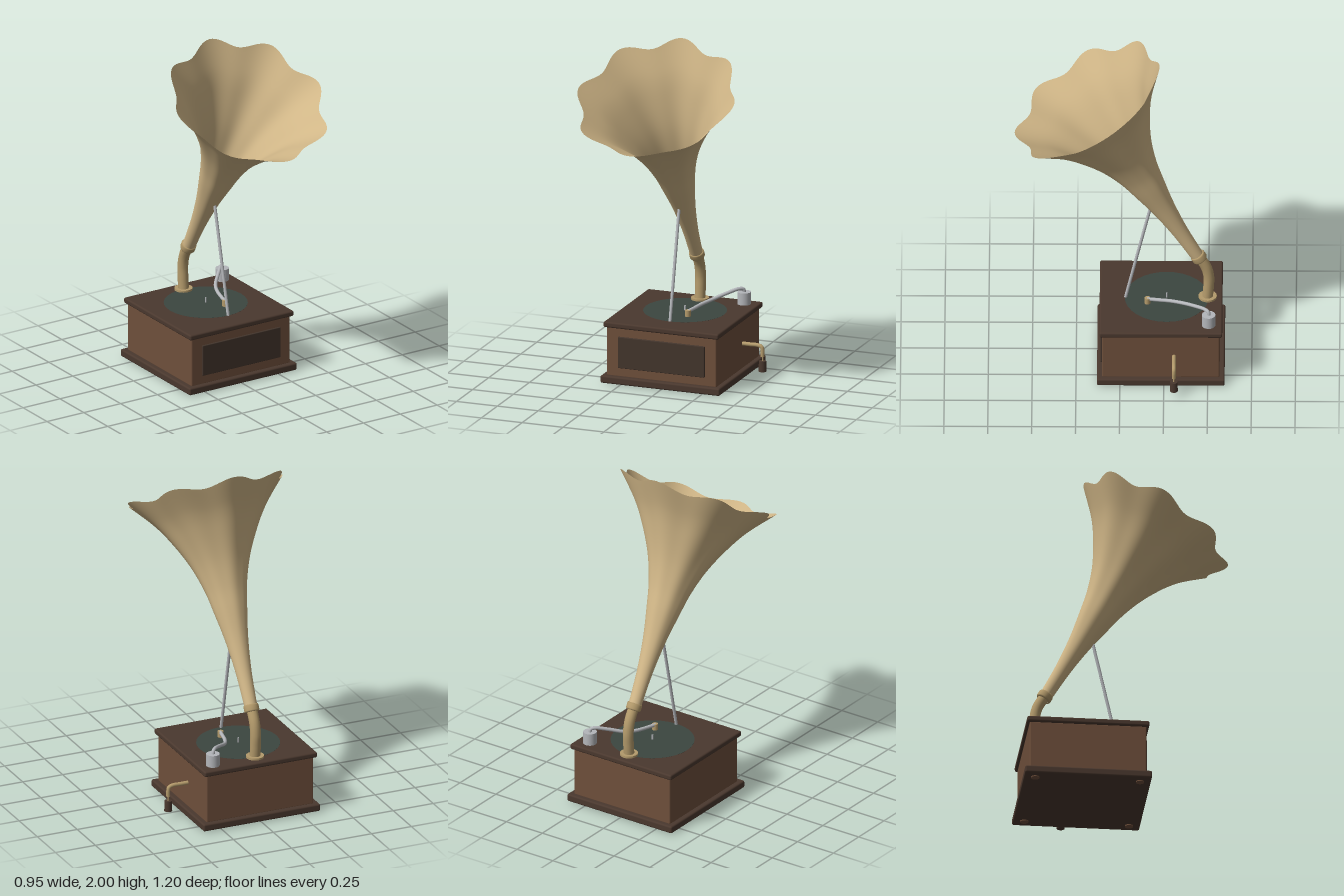
import * as THREE from 'three';
import { RoundedBoxGeometry } from 'three/addons/geometries/RoundedBoxGeometry.js';
import { mergeVertices } from 'three/addons/utils/BufferGeometryUtils.js';

const mat = (color, side = THREE.FrontSide) => new THREE.MeshStandardMaterial({ color, side });
const V = (x, y, z) => new THREE.Vector3(x, y, z);

export function createModel() {
  const model = new THREE.Group();
  const wood = mat(0x6e4f3b), darkWood = mat(0x4a382e), panelWood = mat(0x43352c);
  const brass = mat(0xb39a6b), silver = mat(0xb4b6ba), felt = mat(0x3c4640);
  const hornMat = mat(0xd0b687, THREE.DoubleSide);
  const boxZ = -0.233;

  const add = (name, geometry, material, x = 0, y = 0, z = 0) => {
    const mesh = new THREE.Mesh(geometry, material);
    mesh.name = name;
    mesh.position.set(x, y, z);
    model.add(mesh);
    return mesh;
  };
  // Rounded slab between two heights
  const slab = (name, w, d, y0, y1, material, radius = 0.01, z = boxZ) =>
    add(name, new RoundedBoxGeometry(w, y1 - y0, d, 3, radius), material, 0, (y0 + y1) / 2, z);
  // Upright cylinder between two heights
  const post = (name, r, y0, y1, x, z, material, rTop = r) =>
    add(name, new THREE.CylinderGeometry(rTop, r, y1 - y0, 32), material, x, (y0 + y1) / 2, z);
  const tube = (name, points, r, material) =>
    add(name, new THREE.TubeGeometry(new THREE.CatmullRomCurve3(points), 48, r, 14), material);

  // Cabinet
  slab('base', 0.73, 0.727, 0.006, 0.05, darkWood);
  slab('cabinet', 0.67, 0.67, 0.045, 0.34, wood, 0.008);
  slab('lid', 0.704, 0.7, 0.335, 0.368, darkWood);
  slab('frontPanel', 0.53, 0.02, 0.1, 0.285, panelWood, 0.004, 0.102);
  for (const x of [-0.3, 0.3])
    for (const z of [-0.3, 0.3]) post('foot', 0.024, 0, 0.012, x, boxZ + z, wood);

  // Turntable, flush with the lid
  post('turntable', 0.24, 0.36, 0.3685, 0, -0.265, felt);
  post('spindle', 0.005, 0.36, 0.397, 0, -0.265, silver);

  // Tone arm
  post('toneArmPivot', 0.039, 0.365, 0.44, 0.267, -0.505, silver);
  tube('toneArm', [
    V(0.267, 0.435, -0.507), V(0.263, 0.456, -0.503), V(0.245, 0.461, -0.485), V(0.19, 0.444, -0.428),
    V(0.125, 0.418, -0.355), V(0.092, 0.408, -0.285), V(0.075, 0.402, -0.22), V(0.06, 0.398, -0.155),
  ], 0.0105, silver);
  post('soundBox', 0.017, 0.37, 0.406, 0.06, -0.155, brass);

  // Crank
  tube('crankArm', [
    V(0.32, 0.195, -0.308), V(0.38, 0.195, -0.308), V(0.43, 0.195, -0.308), V(0.451, 0.187, -0.308),
    V(0.457, 0.168, -0.308), V(0.457, 0.13, -0.308),
  ], 0.0115, brass);
  post('crankPin', 0.004, 0.1, 0.135, 0.457, -0.308, brass);
  post('crankHandle', 0.023, 0.043, 0.105, 0.457, -0.308, darkWood, 0.021);

  // Support rod
  tube('supportRod', [V(0, 0.365, -0.03), V(0, 0.68, -0.1), V(0, 1.0, -0.172)], 0.009, silver);

  // Elbow pipe
  post('elbowFlange', 0.052, 0.366, 0.38, 0, -0.498, brass);
  tube('elbow', [
    V(0, 0.37, -0.497), V(0, 0.44, -0.503), V(0, 0.51, -0.505), V(0, 0.58, -0.49), V(0, 0.66, -0.445),
  ], 0.031, brass);

  // Horn: flared lathe pressed into eight petals, then tilted forward
  const length = 1.27, petals = 8, tilt = Math.atan2(0.495, 0.869);
  const profile = new THREE.SplineCurve([
    [0.037, 0], [0.046, 0.2], [0.067, 0.39], [0.098, 0.56], [0.128, 0.7], [0.18, 0.85],
    [0.258, 1.0], [0.346, 1.13], [0.475, length],
  ].map(([r, s]) => new THREE.Vector2(r, s)));
  let horn = new THREE.LatheGeometry(profile.getPoints(60), 160);
  const pos = horn.attributes.position;
  for (let i = 0; i < pos.count; i++) {
    const x = pos.getX(i), y = pos.getY(i), z = pos.getZ(i), t = y / length;
    const valley = (1 - Math.cos(petals * Math.atan2(x, z))) / 2;
    const k = 1 - 0.105 * t * t * valley;
    pos.setXYZ(i, x * k, y - 0.03 * t ** 4 * valley, z * k);
  }
  horn.deleteAttribute('uv');
  horn.deleteAttribute('normal');
  horn = mergeVertices(horn, 1e-5);
  horn.computeVertexNormals();
  add('horn', horn, hornMat, 0, 0.66, -0.44).rotation.x = tilt;

  // Collar joining elbow and horn
  const collar = new THREE.LatheGeometry([
    [0.03, -0.022], [0.04, -0.022], [0.044, -0.014], [0.044, 0.012], [0.041, 0.02], [0.03, 0.02],
  ].map(([r, y]) => new THREE.Vector2(r, y)), 40);
  add('collar', collar, brass, 0, 0.653, -0.447).rotation.x = tilt;

  return model;
}
